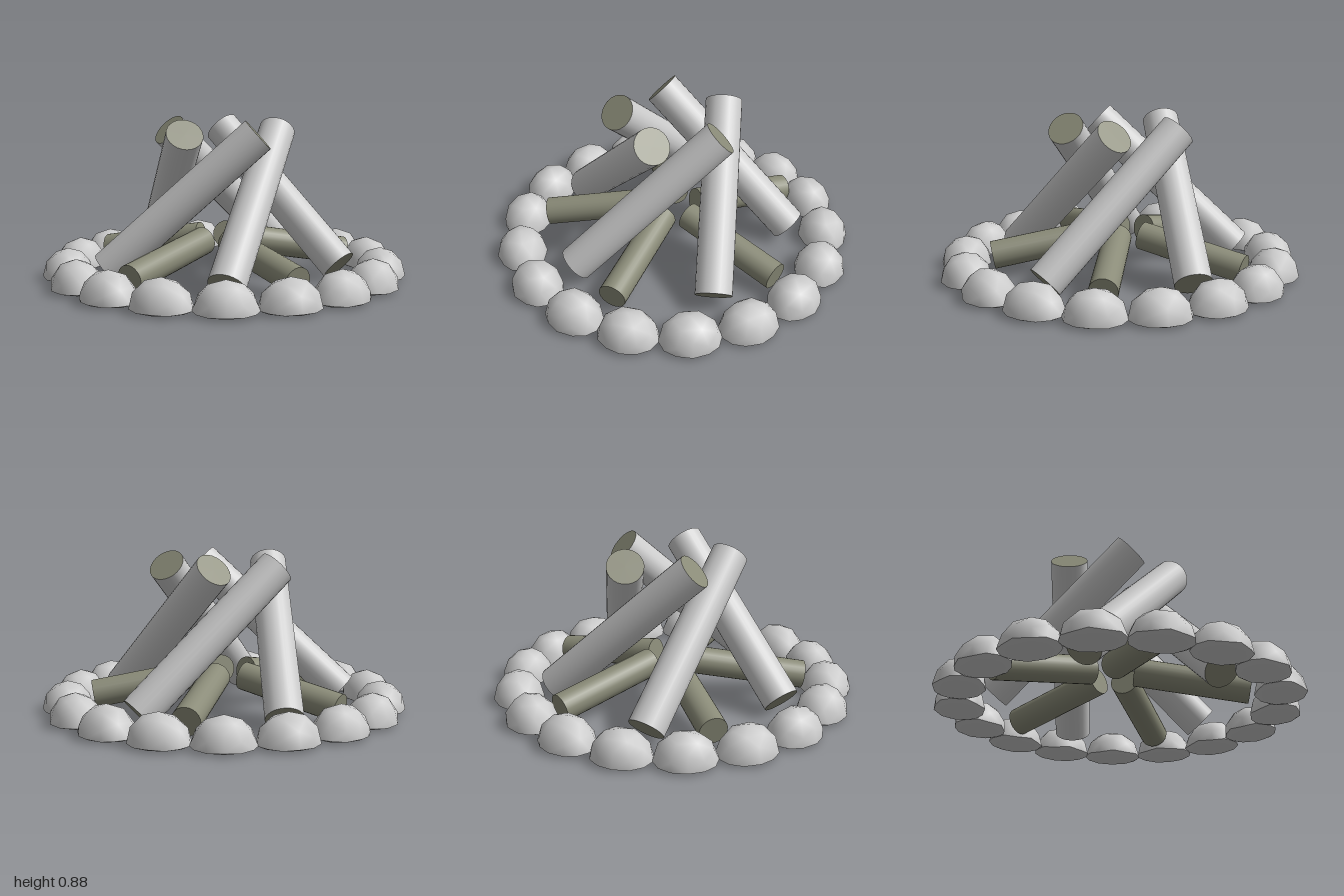
import * as THREE from 'three';
import { toCreasedNormals } from 'three/addons/utils/BufferGeometryUtils.js';

const stoneMat = new THREE.MeshStandardMaterial({ color: 0xcccccc });
const barkMat = new THREE.MeshStandardMaterial({ color: 0xcccccc });
const woodMat = new THREE.MeshStandardMaterial({ color: 0x8a8b78 });

// Cylinder between two end points, with its own side and cap materials
function makeLog(name, from, to, radius, sideMat, capMat) {
  const a = new THREE.Vector3(...from);
  const b = new THREE.Vector3(...to);
  const dir = b.clone().sub(a);
  const geo = new THREE.CylinderGeometry(radius, radius, dir.length(), 24);
  const log = new THREE.Mesh(geo, [sideMat, capMat, capMat]);
  log.name = name;
  log.position.copy(a).add(b).multiplyScalar(0.5);
  log.quaternion.setFromUnitVectors(new THREE.Vector3(0, 1, 0), dir.normalize());
  return log;
}

// Low-poly dome: a coarse sphere whose lower half is pressed nearly flat
function makeStoneGeometry() {
  const geo = new THREE.IcosahedronGeometry(1, 1);
  const pos = geo.attributes.position;
  for (let i = 0; i < pos.count; i++) {
    const y = pos.getY(i);
    pos.setY(i, y < 0 ? y * 0.12 : y);
  }
  geo.scale(0.165, 0.154, 0.139);
  geo.translate(0, 0.0185, 0);
  return toCreasedNormals(geo, 0.9);
}

export function createModel() {
  const model = new THREE.Group();
  model.name = 'campfire';

  // Ring of stones
  const ring = new THREE.Group();
  ring.name = 'stoneRing';
  ring.position.z = -0.013;
  const stoneGeo = makeStoneGeometry();
  const count = 17;
  for (let i = 0; i < count; i++) {
    const angle = (i / count) * Math.PI * 2;
    const stone = new THREE.Mesh(stoneGeo, stoneMat);
    stone.name = 'stone';
    stone.position.set(Math.sin(angle) * 0.86, 0, Math.cos(angle) * 0.86);
    stone.rotation.y = angle;
    ring.add(stone);
  }
  model.add(ring);

  // Tall leaning logs: base x, z, then top x, z
  const leaning = [
    [0.06, -0.685, -0.305, 0.01],
    [-0.61, -0.27, -0.03, 0.28],
    [-0.42, 0.455, 0.29, 0.11],
    [0.365, 0.51, 0.22, -0.27],
    [0.63, -0.2, -0.145, -0.31],
  ];
  for (const [bx, bz, tx, tz] of leaning) {
    model.add(makeLog('leaningLog', [bx, 0.085, bz], [tx, 0.805, tz], 0.1, barkMat, woodMat));
  }

  // Short logs lying inside: outer x, z, then inner x, z
  const lying = [
    [-0.28, -0.695, -0.03, -0.17],
    [0.535, -0.525, 0.11, -0.11],
    [0.65, 0.29, 0.1, 0.03],
    [-0.14, 0.675, -0.035, 0.07],
    [-0.72, 0.06, -0.12, -0.05],
  ];
  for (const [ox, oz, ix, iz] of lying) {
    model.add(makeLog('lyingLog', [ox, 0.1, oz], [ix, 0.208, iz], 0.077, woodMat, woodMat));
  }

  return model;
}
